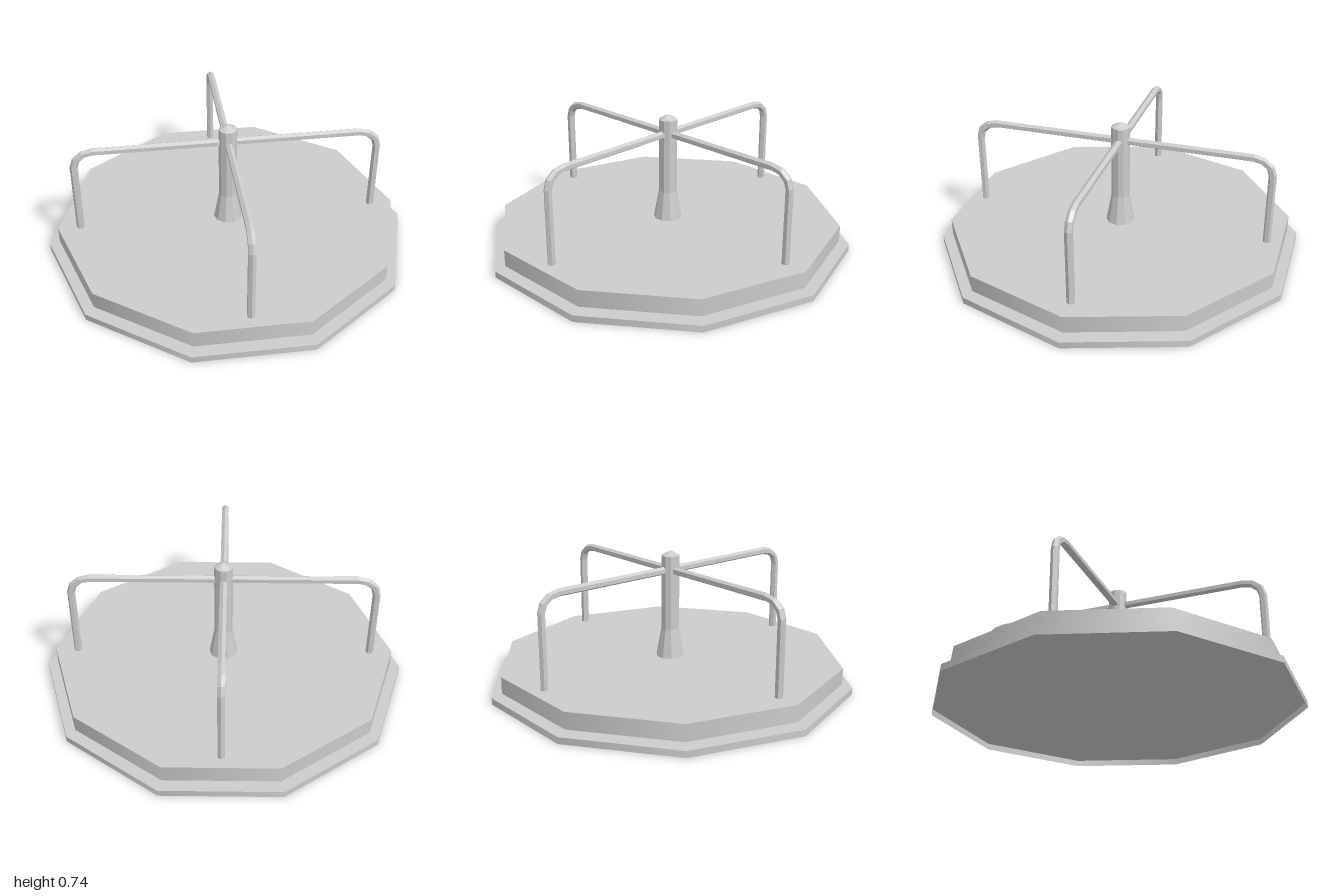
import * as THREE from 'three';
import { mergeGeometries } from 'three/addons/utils/BufferGeometryUtils.js';

const SIDES = 10;
const DECK_TOP = 0.143;

const smooth = new THREE.MeshStandardMaterial({ color: 0xcccccc });
const sheet = new THREE.MeshStandardMaterial({ color: 0xcccccc, side: THREE.DoubleSide });
const faceted = new THREE.MeshStandardMaterial({ color: 0xcccccc, flatShading: true });

function addMesh(parent, name, geometry, material) {
  const mesh = new THREE.Mesh(geometry, material);
  mesh.name = name;
  parent.add(mesh);
  return mesh;
}

// Ten-sided shallow pan, open underneath, with corners on the x axis
function addPlate(parent, name, radius, bottom, top) {
  const wall = new THREE.CylinderGeometry(radius, radius, top - bottom, SIDES, 1, true, Math.PI / 2)
    .translate(0, (bottom + top) / 2, 0);
  const lid = new THREE.CircleGeometry(radius, SIDES).rotateX(-Math.PI / 2).translate(0, top, 0);
  addMesh(parent, name, mergeGeometries([wall, lid]), sheet);
}

// Path with straight pieces, sampled exactly at its corners
class Polyline extends THREE.Curve {
  constructor(points) {
    super();
    this.points = points;
  }
  getPointAt(t, target = new THREE.Vector3()) {
    return target.copy(this.points[Math.round(t * (this.points.length - 1))]);
  }
  getTangentAt(t, target = new THREE.Vector3()) {
    const p = this.points;
    const i = Math.round(t * (p.length - 1));
    const before = i > 0 ? p[i].clone().sub(p[i - 1]).normalize() : new THREE.Vector3();
    const after = i < p.length - 1 ? p[i + 1].clone().sub(p[i]).normalize() : new THREE.Vector3();
    return target.copy(before).add(after).normalize();
  }
}

// Handrail hoop along z: two uprights joined by a bar with rounded corners
function hoopGeometry() {
  const reach = 0.82, height = 0.628, bendOut = 0.105, bendUp = 0.088, steps = 3;
  const half = [new THREE.Vector3(0, DECK_TOP - 0.005, reach)];
  for (let i = 0; i <= steps; i++) {
    const a = (i / steps) * Math.PI / 2;
    half.push(new THREE.Vector3(
      0,
      height - bendUp + bendUp * Math.sin(a),
      reach - bendOut + bendOut * Math.cos(a)));
  }
  const mirrored = half.map(p => new THREE.Vector3(0, p.y, -p.z)).reverse();
  const points = [...half, ...mirrored];
  return new THREE.TubeGeometry(new Polyline(points), points.length - 1, 0.0215, 6, false);
}

export function createModel() {
  const model = new THREE.Group();
  model.name = 'merryGoRound';

  addPlate(model, 'base', 1, 0, 0.035);
  addPlate(model, 'deck', 0.945, 0.053, DECK_TOP);

  // Centre post: flared foot and straight shaft
  const profile = [[0.079, DECK_TOP - 0.003], [0.05, 0.3], [0.05, 0.708]]
    .map(([r, y]) => new THREE.Vector2(r, y));
  addMesh(model, 'centrePost', new THREE.LatheGeometry(profile, SIDES, Math.PI / 2), faceted);

  // Low pointed cap
  const cap = new THREE.ConeGeometry(0.05, 0.027, SIDES, 1, true, Math.PI / 2);
  addMesh(model, 'postCap', cap, smooth).position.y = 0.7215;

  // Two crossing handrails
  const hoop = hoopGeometry();
  for (let i = 0; i < 2; i++) {
    addMesh(model, `handrail${i + 1}`, hoop, faceted).rotation.y = i * Math.PI / 2;
  }

  return model;
}
